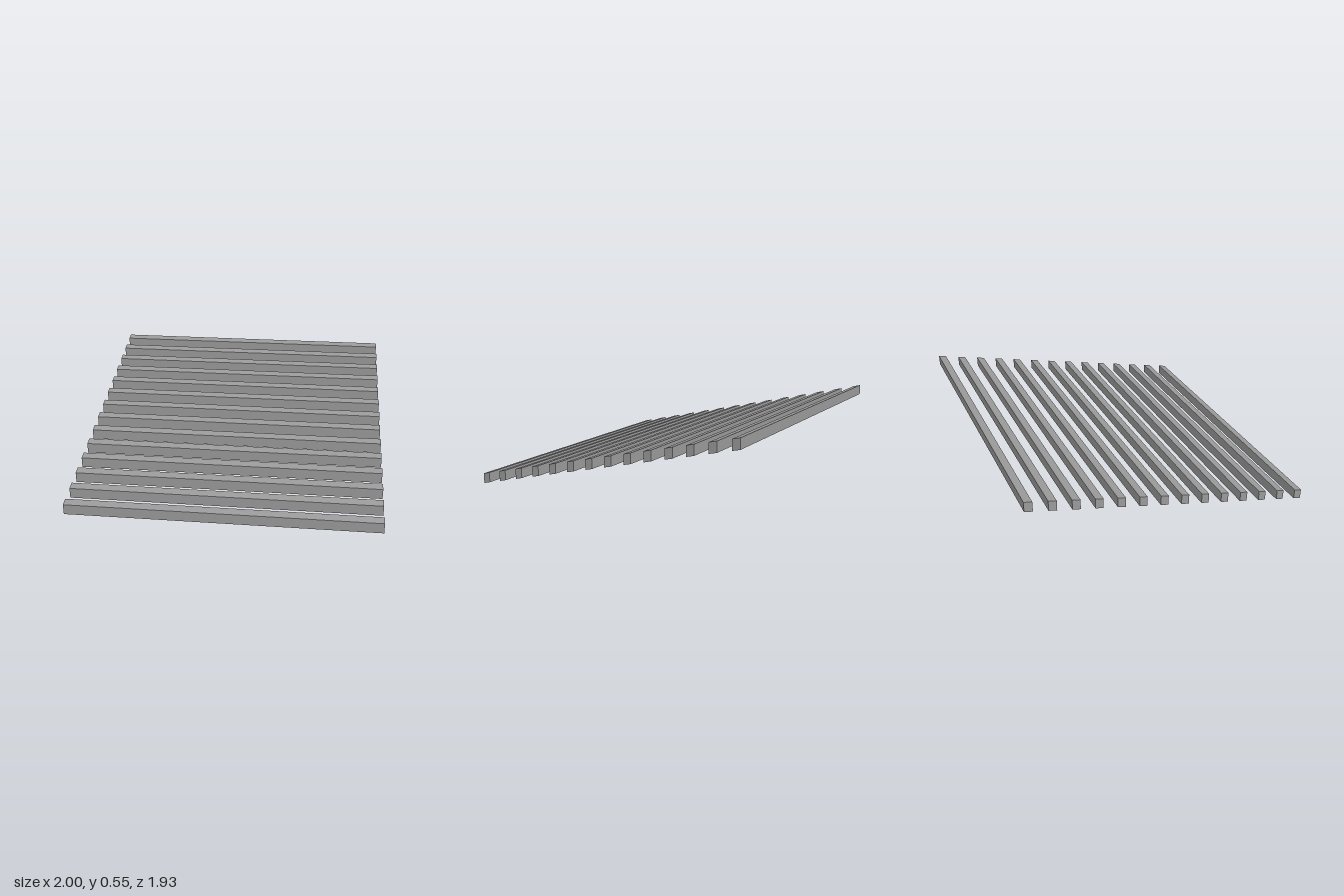
import * as THREE from 'three';

const COUNT = 14;      // number of slats
const LENGTH = 2;      // along x
const DEPTH = 0.052;   // along z
const HEIGHT = 0.068;  // vertical side height
const FRONT_Z = 0.966; // front edge of the lowest slat
const SLOPE = 0.25;    // rise towards the back

export function createModel() {
  const group = new THREE.Group();
  group.name = 'slopedSlats';

  const gray = new THREE.MeshStandardMaterial({ color: 0x999999 });
  gray.name = 'gray';

  // Slat: a box sheared so its top and bottom follow the slope
  const slat = new THREE.BoxGeometry(LENGTH, HEIGHT, DEPTH);
  const p = slat.attributes.position;
  for (let i = 0; i < p.count; i++) p.setY(i, p.getY(i) - SLOPE * p.getZ(i));
  slat.computeVertexNormals();

  // Evenly spaced row climbing from front to back
  const first = FRONT_Z - DEPTH / 2;
  const pitch = (2 * first) / (COUNT - 1);
  for (let i = 0; i < COUNT; i++) {
    const mesh = new THREE.Mesh(slat, gray);
    mesh.name = `slat${i + 1}`;
    const z = first - i * pitch;
    mesh.position.set(0, HEIGHT / 2 + SLOPE * (FRONT_Z - z), z);
    group.add(mesh);
  }
  return group;
}
